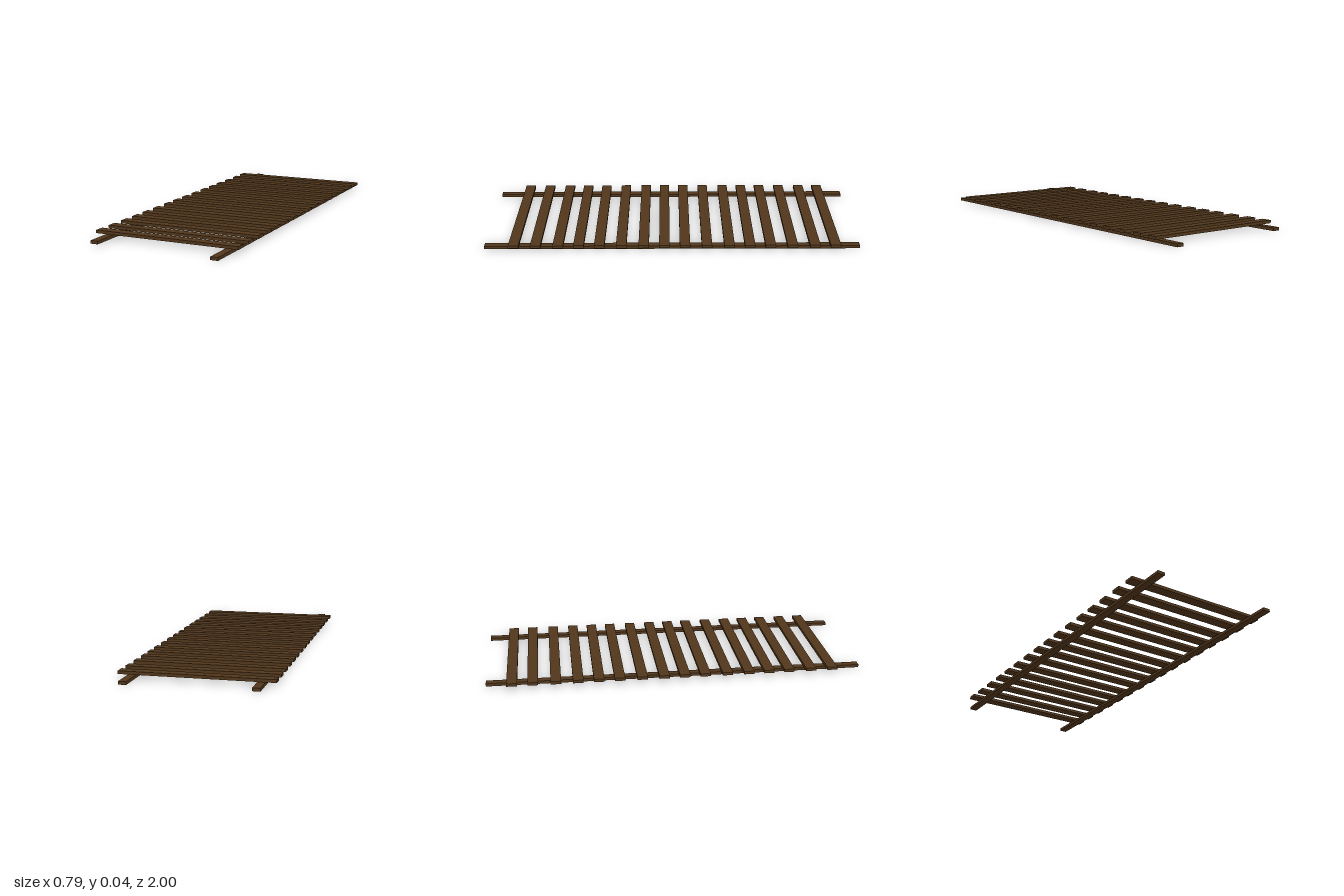
import * as THREE from 'three';

export function createModel() {
  const group = new THREE.Group();
  const wood = new THREE.MeshStandardMaterial({ color: 0x50361b });

  function plank(name, size, position) {
    const mesh = new THREE.Mesh(new THREE.BoxGeometry(...size), wood);
    mesh.name = name;
    mesh.position.set(...position);
    group.add(mesh);
  }

  // Two long rails, set at slightly different heights
  plank('leftRail', [0.04, 0.016, 2], [0.333, 0.008, 0]);
  plank('rightRail', [0.04, 0.016, 2], [-0.319, 0.015, 0]);

  // Cross slats: four groups of four with slightly uneven spacing
  const offsets = [0, 0.109, 0.228, 0.344];
  for (let i = 0; i < 4; i++) {
    offsets.forEach((offset, j) => {
      const z = -0.865 + i * 0.4533 + offset;
      plank(`slat${i * 4 + j + 1}`, [0.788, 0.016, 0.055], [0, 0.0325, z]);
    });
  }

  return group;
}
